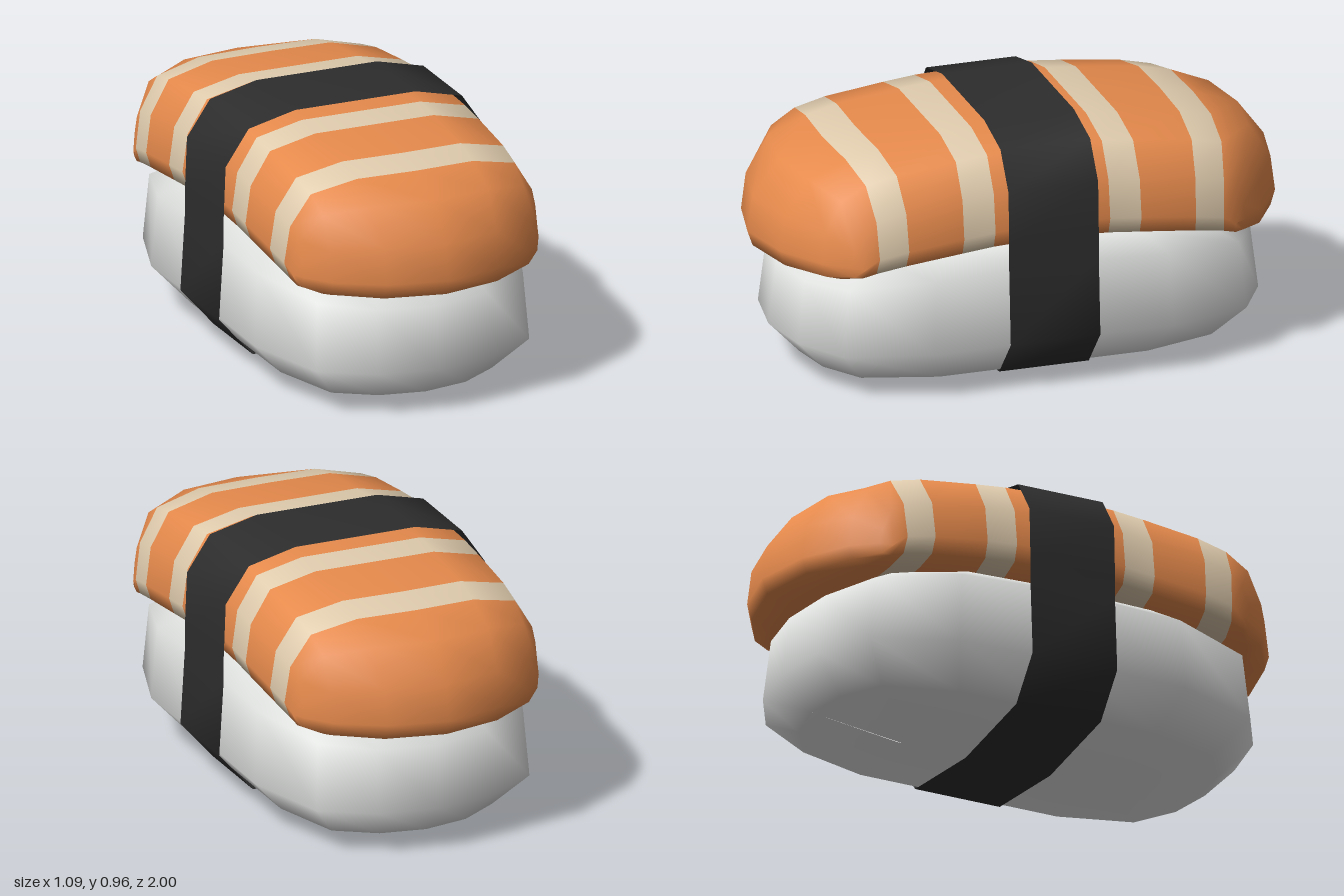
import * as THREE from 'three';
import { mergeVertices } from 'three/addons/utils/BufferGeometryUtils.js';

const flat = (name, color, side = THREE.FrontSide) => {
  const m = new THREE.MeshStandardMaterial({ color, side });
  m.name = name;
  return m;
};

// Skin closed loops of points; slots[i] is the material of the strip after row i
function loft(rows, slots = []) {
  const n = rows[0].length, index = [], geo = new THREE.BufferGeometry();
  geo.setAttribute('position', new THREE.Float32BufferAttribute(rows.flat(2), 3));
  for (let i = 0; i < rows.length - 1; i++) {
    geo.addGroup(index.length, n * 6, slots[i] || 0);
    for (let j = 0; j < n; j++) {
      const k = (j + 1) % n, a = i * n + j, b = i * n + k;
      index.push(a, b, a + n, b, b + n, a + n);
    }
  }
  geo.setIndex(index);
  const merged = mergeVertices(geo, 1e-4);
  merged.computeVertexNormals();
  return merged;
}

function riceGeometry() {
  // Quarter of the plan outline, mirrored to a full loop running from +x towards -z
  const q = [[1, 0], [1, 0.5], [0.8, 0.84], [0.43, 0.96], [0, 1]];
  const half = [...q, ...q.slice(0, 4).reverse().map(([x, z]) => [-x, z])];
  const loop = [...half, ...half.slice(1, -1).map(([x, z]) => [-x, -z])];
  // Layers: height, drop towards the ends, half width, half length
  const layers = [
    [0.004, 0, 0, 0.45], [0.05, 0, 0.4, 0.8], [0.195, 0.02, 0.53, 0.92],
    [0.485, 0.075, 0.512, 0.89], [0.54, 0.04, 0.42, 0.74], [0.55, 0.04, 0, 0.5],
  ];
  return loft(layers.map(([y, drop, w, l]) =>
    loop.map(([x, z]) => [x * w, y - drop * z * z, -z * l])));
}

function fishGeometry() {
  // Half section: width fraction, height fraction, backward sweep fraction
  const top = [[1, 0.25, 1], [0.96, 0.6, 0.87], [0.81, 0.9, 0.55], [0.46, 1, 0.18], [0, 1, 0]];
  const low = [[0, 0, 0], [0.46, 0, 0.18], [0.81, 0.035, 0.55], [0.96, 0.1, 0.87]];
  const mirror = (pts) => pts.map(([x, y, s]) => [-x, y, s]).reverse();
  const loop = [...top, ...mirror(top.slice(0, 4)), ...mirror(low.slice(1)), ...low];
  // Rings: z at the middle, z at the edge, half width, top, bottom
  const front = [
    [0, 0, 0.513, 0.95, 0.54], [0.22, 0.22, 0.513, 0.942, 0.53],
    [0.34, 0.34, 0.513, 0.93, 0.518], [0.585, 0.55, 0.51, 0.902, 0.495],
    [0.71, 0.66, 0.502, 0.875, 0.477], [0.88, 0.69, 0.493, 0.815, 0.468],
    [0.98, 0.71, 0.488, 0.68, 0.488], [1, 0.72, 0.485, 0.545, 0.545],
  ];
  const back = front.slice(1).reverse().map(([a, b, ...r]) => [-a, -b, ...r]);
  const rows = [...back, ...front].map(([zc, ze, w, t, b]) =>
    loop.map(([x, y, s]) => [x * w, b + (t - b) * y, zc + (ze - zc) * s]));
  return loft(rows, [0, 0, 0, 1, 0, 1, 0, 0, 1, 0, 1, 0, 0, 0]);
}

function bandGeometry() {
  // Thin open strip wrapped around the middle
  const side = [[0, 0], [0.41, 0.045], [0.543, 0.197], [0.525, 0.49], [0.525, 0.58],
    [0.517, 0.785], [0.425, 0.92], [0.24, 0.965]];
  const loop = [...side, ...side.slice(1).reverse().map(([x, y]) => [-x, y])];
  return loft([-0.172, 0.172].map((z) => loop.map(([x, y]) => [x, y, z])));
}

export function createModel() {
  const rice = flat('rice white', 0xe6e8e6);
  const orange = flat('fish orange', 0xe68a4c);
  const cream = flat('fish stripe cream', 0xe0ccae);
  const seaweed = flat('seaweed black', 0x2d2d2d, THREE.DoubleSide);

  const group = new THREE.Group();
  group.name = 'sushi';
  const add = (name, geo, mat) => {
    const mesh = new THREE.Mesh(geo, mat);
    mesh.name = name;
    group.add(mesh);
  };
  const riceGeo = riceGeometry(), bandGeo = bandGeometry();
  riceGeo.clearGroups();
  bandGeo.clearGroups();
  add('riceBlock', riceGeo, rice);
  add('fishSlice', fishGeometry(), [orange, cream]);
  add('seaweedBand', bandGeo, seaweed);
  return group;
}
